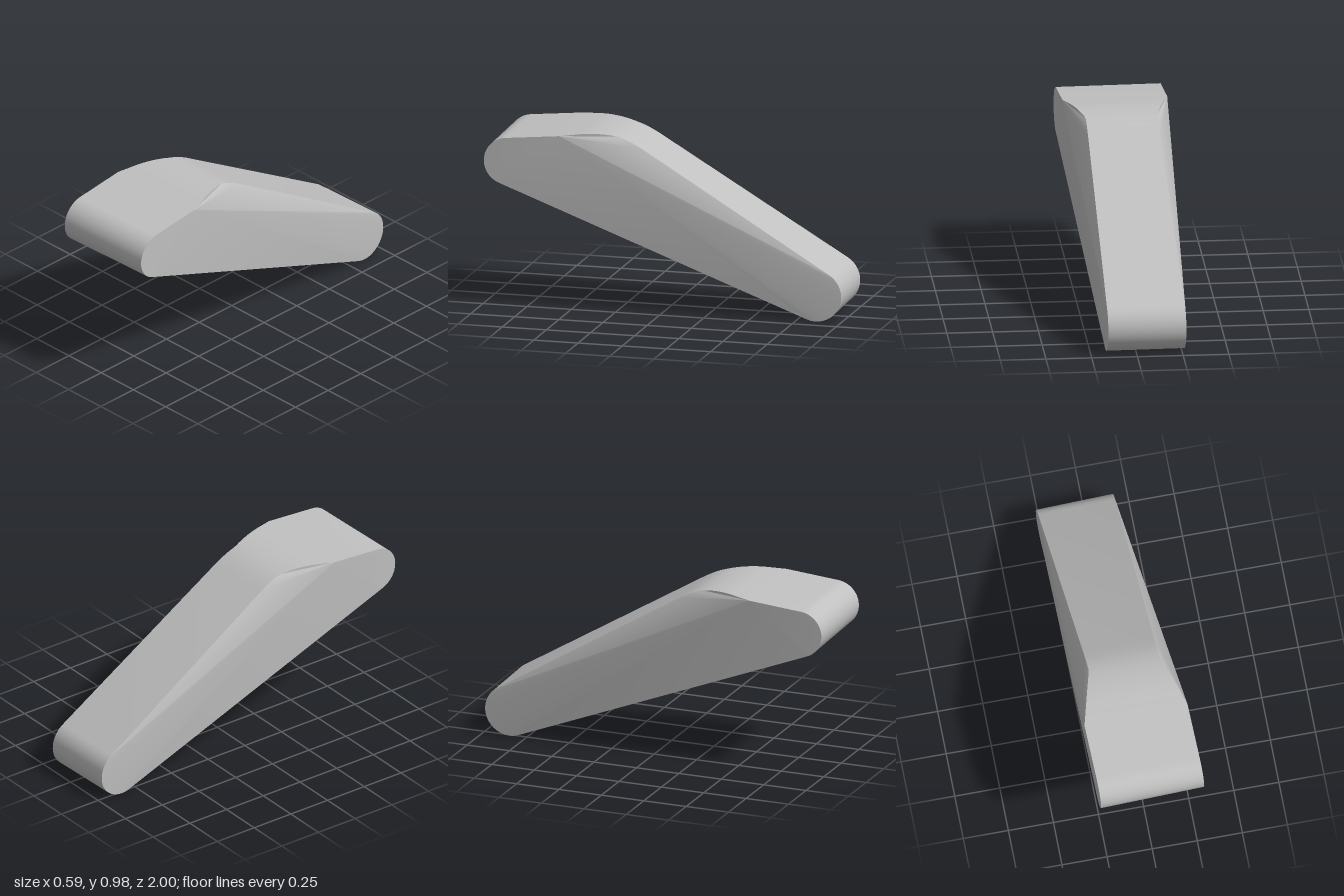
import * as THREE from 'three';
import { toCreasedNormals } from 'three/addons/utils/BufferGeometryUtils.js';

// points [z, y, halfWidth] along an arc, angles in degrees from +z
function arc(cz, cy, r, from, to, n, halfWidth) {
  const pts = [];
  for (let i = 0; i <= n; i++) {
    const a = THREE.MathUtils.degToRad(from + ((to - from) * i) / n);
    pts.push([cz + r * Math.cos(a), cy + r * Math.sin(a), halfWidth]);
  }
  return pts;
}

function meshFrom(name, triangles, material) {
  const geometry = new THREE.BufferGeometry();
  geometry.setAttribute('position', new THREE.Float32BufferAttribute(triangles.flat(2), 3));
  const mesh = new THREE.Mesh(toCreasedNormals(geometry, 0.5), material);
  mesh.name = name;
  return mesh;
}

export function createModel() {
  const grey = new THREE.MeshStandardMaterial({ color: 0xc0c0c0 });
  grey.name = 'plain grey';

  // hump between the narrow sloping back and the wide front
  const hump = new THREE.SplineCurve([
    [0.13, 0.908], [0.2, 0.944], [0.27, 0.968], [0.35, 0.981],
    [0.43, 0.984], [0.5, 0.979], [0.57, 0.973],
  ].map(([z, y]) => new THREE.Vector2(z, y))).getPoints(18);
  const humpWidth = (z) => (z > 0.26
    ? THREE.MathUtils.mapLinear(z, 0.26, 0.57, 0.195, 0.2875)
    : THREE.MathUtils.mapLinear(z, -0.93, 0.26, 0.214, 0.195));

  // side profile: shoulder, rounded front, rounded back, sloping top, hump
  const profile = [
    [0.57, 0.973, 0.2875],
    ...arc(0.861, 0.815, 0.131, 85, -68.5, 24, 0.2875),
    ...arc(-0.853, 0.143, 0.143, -68.5, -238.8, 28, 0.214),
    ...hump.slice(0, -1).map((p) => [p.x, p.y, humpWidth(p.x)]),
  ];
  const left = profile.map(([z, y, w]) => [w, y, z]);
  const right = profile.map(([z, y, w]) => [-w, y, z]);

  // band that runs all the way round the profile
  const band = [];
  profile.forEach((_, i) => {
    const j = (i + 1) % profile.length;
    band.push([right[i], right[j], left[j]], [right[i], left[j], left[i]]);
  });

  // side walls fan out from the shoulder, leaving the bevel under the slope
  const leftWall = [];
  const rightWall = [];
  for (let i = 1; i < profile.length - 1; i++) {
    leftWall.push([left[0], left[i], left[i + 1]]);
    rightWall.push([right[0], right[i + 1], right[i]]);
  }

  const body = new THREE.Group();
  body.name = 'taperedArm';
  body.add(
    meshFrom('outerBand', band, grey),
    meshFrom('leftWall', leftWall, grey),
    meshFrom('rightWall', rightWall, grey),
  );
  // the arm is turned slightly
  body.rotation.y = 0.03;
  body.position.x = -0.025;

  const model = new THREE.Group();
  model.name = 'model';
  model.add(body);
  return model;
}
